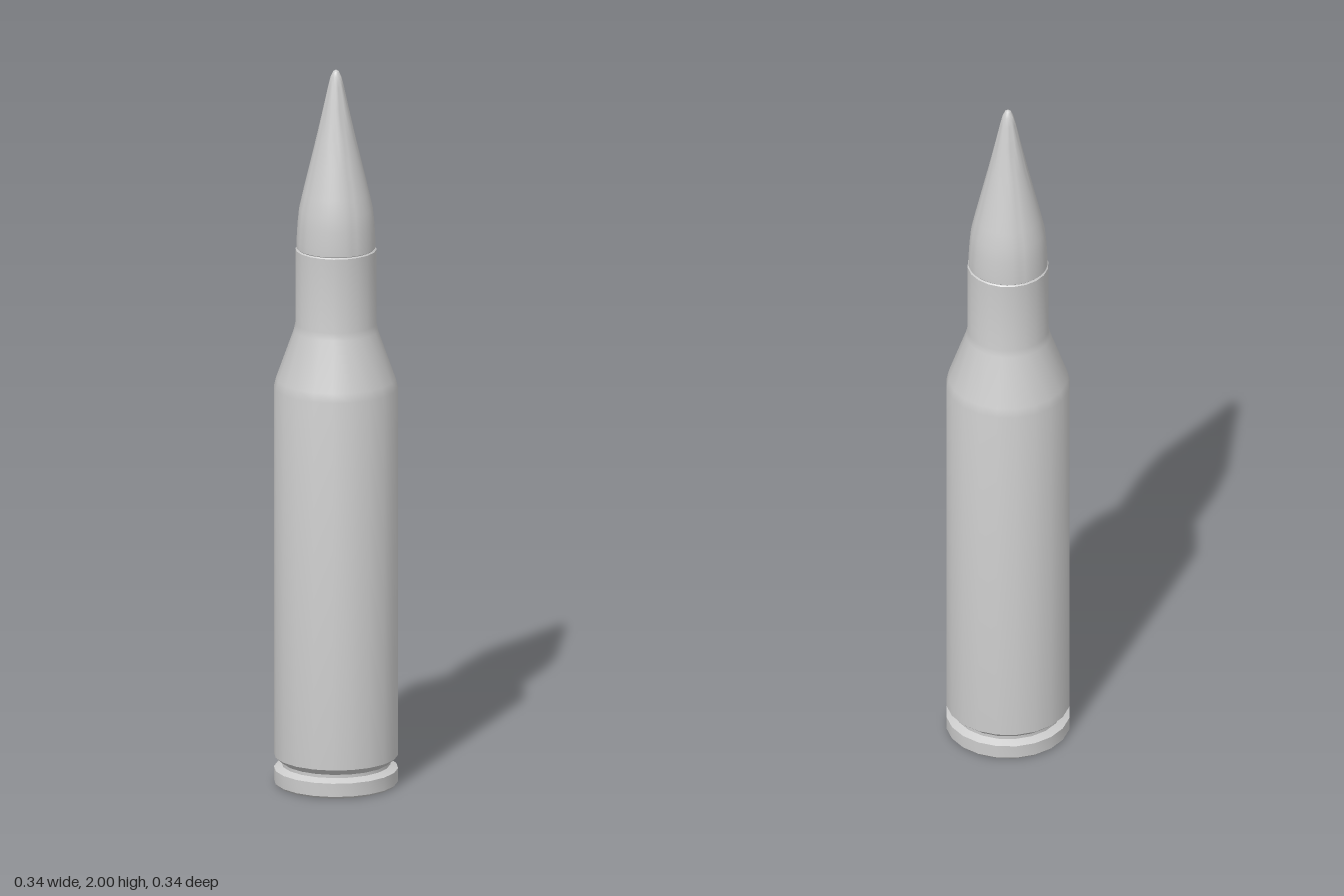
import * as THREE from 'three';
import { toCreasedNormals } from 'three/addons/utils/BufferGeometryUtils.js';

const START = THREE.MathUtils.degToRad(4);

// Turned part from [radius, height] pairs listed bottom to top on the outside
function turned(name, profile, segments) {
  const points = profile.map(([r, y]) => new THREE.Vector2(r, y));
  const geometry = toCreasedNormals(new THREE.LatheGeometry(points, segments, START), 0.6);
  const mesh = new THREE.Mesh(geometry, new THREE.MeshStandardMaterial({ color: 0xcccccc }));
  mesh.name = name;
  return mesh;
}

export function createModel() {
  const group = new THREE.Group();
  group.name = 'cartridge';

  // Case: primer pocket, rim, extractor groove, body, shoulder, neck and mouth
  group.add(turned('case', [
    [0.078, 0.02], [0.082, 0], [0.162, 0], [0.168, 0.006], [0.168, 0.043],
    [0.147, 0.053], [0.147, 0.062], [0.168, 0.08],
    [0.168, 1.11], [0.162, 1.135], [0.114, 1.27], [0.11, 1.29],
    [0.11, 1.497], [0.107, 1.5], [0.103, 1.5], [0.103, 1.47],
  ], 20));

  // Primer seated slightly inside its pocket
  group.add(turned('primer', [
    [0, 0.006], [0.055, 0.006], [0.07, 0.01], [0.079, 0.02],
  ], 20));

  // Bullet: short bearing band, long taper and rounded tip
  group.add(turned('bullet', [
    [0.1, 1.47], [0.103, 1.498], [0.107, 1.502], [0.107, 1.52], [0.104, 1.57], [0.1, 1.61],
    [0.09, 1.655], [0.071, 1.735], [0.052, 1.815], [0.034, 1.895], [0.021, 1.955],
    [0.015, 1.98], [0.008, 1.995], [0, 2],
  ], 40));

  return group;
}
